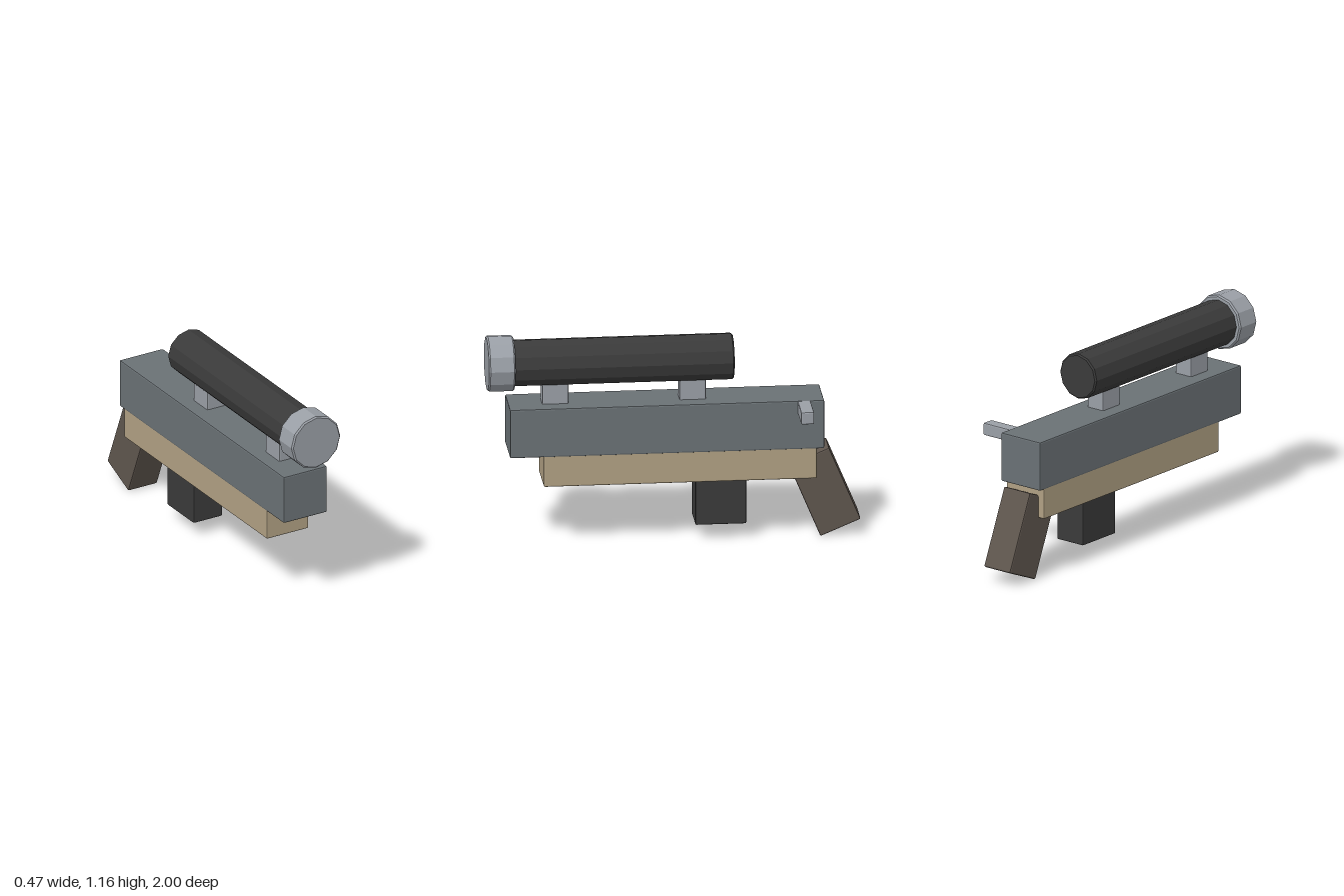
import * as THREE from 'three';
import { RoundedBoxGeometry } from 'three/addons/geometries/RoundedBoxGeometry.js';

const AXIS_X = -0.085; // centre plane of the body
const BEVEL = 0.008;

function material(name, color) {
  const m = new THREE.MeshStandardMaterial({ color });
  m.name = name;
  return m;
}

// Faceted normals for crisp low-poly shading
function faceted(geometry) {
  const g = geometry.index ? geometry.toNonIndexed() : geometry;
  g.computeVertexNormals();
  return g;
}

export function createModel() {
  const group = new THREE.Group();
  const slate = material('slate grey', 0x6a7175);
  const tan = material('tan', 0xb0a083);
  const metal = material('light metal', 0x9a9fa6);
  const black = material('black', 0x3a3a3a);
  const brown = material('dark brown', 0x5f564e);

  function add(name, geometry, mat, x, y, z) {
    const mesh = new THREE.Mesh(faceted(geometry), mat);
    mesh.name = name;
    mesh.position.set(x, y, z);
    group.add(mesh);
    return mesh;
  }

  // Bevelled box given by its extents on each axis
  function box(name, mat, [x0, x1], [y0, y1], [z0, z1]) {
    const g = new RoundedBoxGeometry(x1 - x0, y1 - y0, z1 - z0, 1, BEVEL);
    return add(name, g, mat, (x0 + x1) / 2, (y0 + y1) / 2, (z0 + z1) / 2);
  }
  const across = (w) => [AXIS_X - w / 2, AXIS_X + w / 2];

  // Bevelled twelve-sided barrel lying along z
  function barrel(name, mat, r, z0, z1) {
    const h = (z1 - z0) / 2;
    const profile = [[0, -h], [r - BEVEL, -h], [r, BEVEL - h], [r, h - BEVEL], [r - BEVEL, h], [0, h]]
      .map(([a, b]) => new THREE.Vector2(a, b));
    const g = new THREE.LatheGeometry(profile, 12).rotateX(Math.PI / 2);
    return add(name, g, mat, AXIS_X, 1.005, (z0 + z1) / 2);
  }

  // Body
  box('receiver', slate, across(0.272), [0.51, 0.784], [-0.805, 0.887]);
  box('lowerStock', tan, across(0.262), [0.34, 0.53], [-0.766, 0.705]);
  box('magazine', black, across(0.182), [0.084, 0.38], [-0.39, -0.115]);
  box('sideHandle', metal, [0.03, 0.236], [0.711, 0.781], [-0.732, -0.662]);

  // Slanted rear grip
  const grip = add('grip', new RoundedBoxGeometry(0.182, 0.443, 0.235, 1, BEVEL), brown, AXIS_X, 0.248, -0.815);
  grip.rotation.x = 0.396;
  grip.position.z = -0.812;

  // Upper tube with its wide front cap
  barrel('upperTube', black, 0.127, -0.325, 0.88);
  barrel('frontCap', metal, 0.153, 0.857, 1.0);

  // Tube mounts
  for (const z of [0.635, -0.105]) {
    box('tubeMount', metal, across(0.108), [0.775, 0.92], [z - 0.071, z + 0.071]);
  }
  return group;
}
